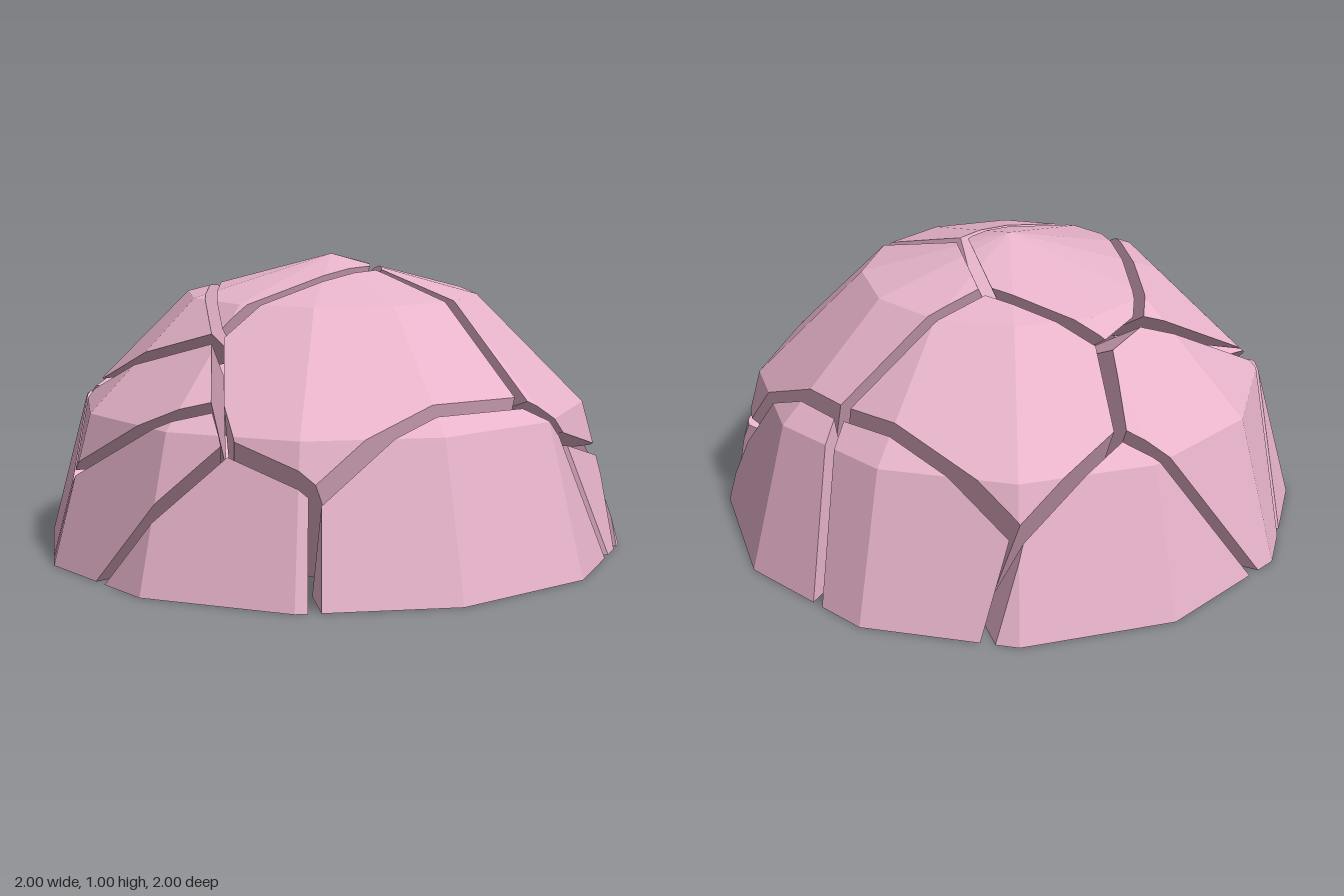
import * as THREE from 'three';

// Crack junctions: capitals lie on the dome, r1-r9 on its rim, the rest inside
const POINTS = {
  A: [-0.08, 0.93, -0.32], B: [0.17, 0.96, -0.03], C: [-0.5, 0.79, -0.28], D: [-0.53, 0.82, -0.1],
  E: [-0.01, 0.77, 0.6], F: [0.12, 0.58, 0.76], G: [0.22, 0.48, 0.83], H: [0.5, 0.36, 0.76],
  I: [0.79, 0.55, 0.04], J: [0.87, 0.43, -0.12], K: [0.77, 0.32, -0.5], L: [0.22, 0.6, -0.73],
  M: [-0.46, 0.35, -0.79], N: [-0.63, 0.58, -0.44], O: [-0.7, 0.53, 0.42], P: [-0.53, 0.28, 0.78],
  r1: [0.54, 0, 0.82], r2: [0.92, 0, -0.33], r3: [0.88, 0, -0.45], r4: [0.19, 0, -0.96], r5: [-0.4, 0, -0.89],
  r6: [-0.96, 0, -0.1], r7: [-0.95, 0, 0.2], r8: [-0.57, 0, 0.79], r9: [-0.22, 0, 0.94],
  qG: [-0.1, 0, 0.46], qH: [0.42, 0, 0.7], qJ: [0.55, 0, 0.13], qK: [0.46, 0, -0.46], qL: [0.21, 0, -0.61],
  qM: [-0.13, 0, -0.62], qN: [-0.37, 0, -0.13], qO: [-0.36, 0, -0.05], qP: [-0.14, 0, 0.45],
  a: [0.14, 0, -0.07], b: [-0.18, 0, 0.08], s: [0.15, 0, 0.5], t: [0.48, 0, 0.4],
  u: [-0.1, 0.35, 0.05], v: [-0.2, 0.25, 0.3], w: [0.14, 0.3, -0.1], x: [-0.25, 0.6, 0.15],
};

// Corners of each shard on the outer surface
const SHARDS = {
  topShard: 'A B C D E', upperFrontLeftShard: 'B E F G H I', upperBackLeftShard: 'A B I J K L',
  upperBackRightShard: 'A C N M L', upperFrontRightFlake: 'D E O', middleFrontShard: 'O P F E',
  lowerLeftShard: 'H I J r1 r2', leftSplinter: 'J K r2 r3', lowerBackLeftShard: 'K L r3 r4',
  lowerBackShard: 'L M r4 r5', lowerBackRightShard: 'M N r5 r6', rightShard: 'N C D O r6 r7',
  lowerFrontRightShard: 'O P r7 r8', lowerFrontSplinter: 'P F G r8 r9', lowerFrontShard: 'G H r9 r1',
};

// Each crack: the two shards it parts and three points of its plane
const CRACKS = [
  'topShard upperBackLeftShard A B u', 'topShard upperBackRightShard A C u',
  'topShard rightShard C D x', 'topShard upperFrontRightFlake D E x',
  'topShard upperFrontLeftShard B E u', 'upperFrontRightFlake rightShard D O x',
  'upperFrontRightFlake middleFrontShard E O x', 'middleFrontShard rightShard O x v',
  'middleFrontShard lowerFrontRightShard O P v', 'middleFrontShard lowerFrontSplinter P F v',
  'middleFrontShard upperFrontLeftShard E F v', 'upperFrontLeftShard lowerFrontSplinter F G qG',
  'upperFrontLeftShard lowerFrontShard G H s', 'upperFrontLeftShard lowerLeftShard H I t',
  'upperFrontLeftShard upperBackLeftShard B I w', 'upperFrontLeftShard leftSplinter I a qJ',
  'upperFrontLeftShard upperBackRightShard a b u', 'upperFrontLeftShard lowerFrontRightShard b qG E',
  'upperBackLeftShard upperBackRightShard A L w', 'upperBackLeftShard lowerLeftShard I J w',
  'upperBackLeftShard leftSplinter J K w', 'upperBackLeftShard lowerBackLeftShard K L qL',
  'upperBackRightShard lowerBackLeftShard K L qL', 'upperBackRightShard leftSplinter a qK w',
  'upperBackRightShard lowerBackShard L M qM', 'upperBackRightShard lowerBackRightShard M N qN',
  'upperBackRightShard rightShard N C qN', 'upperBackRightShard lowerFrontRightShard qN b N',
  'lowerLeftShard lowerFrontShard H r1 qH', 'lowerLeftShard leftSplinter J r2 qJ',
  'leftSplinter lowerBackLeftShard K r3 qK', 'lowerBackLeftShard lowerBackShard L r4 qL',
  'lowerBackShard lowerBackRightShard M r5 qM', 'lowerBackRightShard rightShard N r6 qN',
  'rightShard lowerFrontRightShard O r7 qO', 'lowerFrontRightShard lowerFrontSplinter P r8 qP',
  'lowerFrontSplinter lowerFrontShard G r9 qG',
];

const HALF_GAP = 0.02;
const SIDES = 12;
const point = (name) => new THREE.Vector3(...POINTS[name]);
const average = (list) => list.reduce((sum, p) => sum.add(p), new THREE.Vector3()).divideScalar(list.length);

// Faces of the whole faceted half ball, wound outwards
function domeFaces() {
  const at = (ring, i) => {
    const tilt = (ring * Math.PI) / 6;
    const turn = (i * 2 * Math.PI) / SIDES;
    return new THREE.Vector3(Math.cos(tilt) * Math.sin(turn), Math.sin(tilt), Math.cos(tilt) * Math.cos(turn));
  };
  const faces = [];
  const base = [];
  for (let i = 0; i < SIDES; i++) {
    for (let r = 0; r < 2; r++) faces.push([at(r, i), at(r, i + 1), at(r + 1, i + 1), at(r + 1, i)]);
    faces.push([at(2, i), at(2, i + 1), new THREE.Vector3(0, 1, 0)]);
    base.unshift(at(0, i));
  }
  faces.push(base);
  return faces;
}

// Keep the part of a convex solid in front of the plane and close the cut
function cut(faces, plane) {
  const rim = [];
  const addRim = (p) => { if (!rim.some((q) => q.distanceTo(p) < 1e-5)) rim.push(p); };
  const kept = [];
  for (const face of faces) {
    const out = [];
    face.forEach((p, i) => {
      const q = face[(i + 1) % face.length];
      const dp = plane.distanceToPoint(p);
      const dq = plane.distanceToPoint(q);
      if (dp >= 0) out.push(p);
      if ((dp >= 0) !== (dq >= 0)) {
        const hit = p.clone().lerp(q, dp / (dp - dq));
        out.push(hit);
        addRim(hit);
      }
    });
    if (out.length > 2) kept.push(out);
  }
  if (rim.length > 2) {
    const mid = average(rim);
    const side = rim[0].clone().sub(mid).normalize();
    const up = plane.normal.clone().negate().cross(side);
    const angle = (p) => Math.atan2(p.clone().sub(mid).dot(up), p.clone().sub(mid).dot(side));
    kept.push(rim.sort((p, q) => angle(p) - angle(q)));
  }
  return kept;
}

// Flat-shaded geometry from convex faces
function facesToGeometry(faces) {
  const corners = [];
  for (const f of faces) {
    for (let i = 1; i < f.length - 1; i++) corners.push(f[0], f[i], f[i + 1]);
  }
  const geometry = new THREE.BufferGeometry().setFromPoints(corners);
  geometry.computeVertexNormals();
  return geometry;
}

export function createModel() {
  const group = new THREE.Group();
  group.name = 'crackedDome';
  const material = new THREE.MeshStandardMaterial({ color: 0xe8b4cb, flatShading: true });
  for (const [name, corners] of Object.entries(SHARDS)) {
    const middle = average(corners.split(' ').map(point));
    let faces = domeFaces();
    for (const crack of CRACKS) {
      const [one, other, ...names] = crack.split(' ');
      if (name !== one && name !== other) continue;
      const plane = new THREE.Plane().setFromCoplanarPoints(...names.map(point));
      if (plane.distanceToPoint(middle) < 0) plane.negate();
      plane.constant -= HALF_GAP;
      faces = cut(faces, plane);
    }
    const mesh = new THREE.Mesh(facesToGeometry(faces), material);
    mesh.name = name;
    group.add(mesh);
  }
  return group;
}
